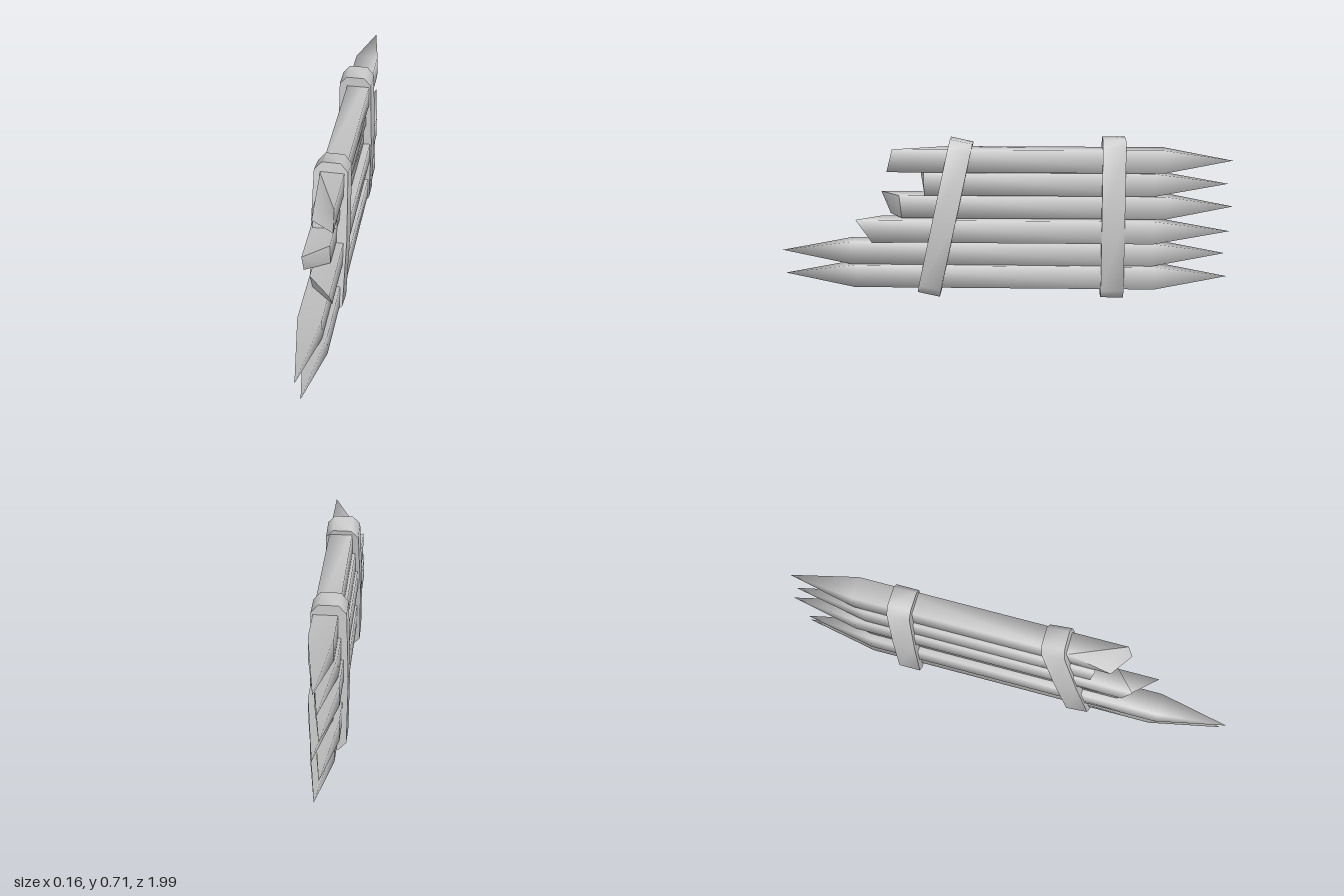
import * as THREE from 'three';
import { toCreasedNormals } from 'three/addons/utils/BufferGeometryUtils.js';

const material = new THREE.MeshStandardMaterial({ color: 0xcccccc });

// corner order, counter-clockwise seen from the front: +x top, -x top, -x bottom, +x bottom
const CORNERS = [[1, 1], [-1, 1], [-1, -1], [1, -1]];
const HALF = 0.05;

// Square stake: pointed at the back, pointed or snapped off at the front
function stakeGeometry({ x, y, back, front, snapped, core }) {
  const pos = [], index = [];
  const ring = (zs) => {
    const start = pos.length / 3;
    CORNERS.forEach(([cx, cy], i) => pos.push(x + cx * HALF, y + cy * HALF, zs[i]));
    return start;
  };
  const point = (z) => pos.push(x, y, z) / 3 - 1;
  const fan = (start, tip, forward) => {
    for (let i = 0; i < 4; i++) {
      const a = start + i, b = start + (i + 1) % 4;
      index.push(...(forward ? [a, b, tip] : [b, a, tip]));
    }
  };

  const rear = ring(Array(4).fill(back[0]));
  const fore = ring(snapped || Array(4).fill(front[0]));
  for (let i = 0; i < 4; i++) {
    const j = (i + 1) % 4;
    index.push(rear + i, rear + j, fore + j, rear + i, fore + j, fore + i);
  }
  fan(rear, point(back[1]), false);
  // a break gets its own vertices so its rim stays sharp
  if (snapped) fan(ring(snapped), point(core), true);
  else fan(fore, point(front[1]), true);

  const g = new THREE.BufferGeometry();
  g.setAttribute('position', new THREE.Float32BufferAttribute(pos, 3));
  g.setIndex(index);
  g.computeVertexNormals();
  return g;
}

// Upright strap: slightly bulging outline with chamfered ends
function strapGeometry(length, depth) {
  const h = length / 2;
  const half = [[0.04, -h], [0.071, -h + 0.037], [0.078, 0], [0.071, h - 0.037], [0.04, h]];
  const outline = [...half, ...half.map(([x, y]) => [-x, -y])];
  const shape = new THREE.Shape(outline.map(([x, y]) => new THREE.Vector2(x, y)));
  const g = new THREE.ExtrudeGeometry(shape, { depth, bevelEnabled: false });
  g.translate(0, 0, -depth / 2);
  return toCreasedNormals(g, 0.9);
}

export function createModel() {
  const model = new THREE.Group();
  model.name = 'stakeFence';
  const add = (name, geometry) => {
    const mesh = new THREE.Mesh(geometry, material);
    mesh.name = name;
    model.add(mesh);
    return mesh;
  };

  // Stakes from bottom to top: [shoulder z, tip z] for pointed ends, corner z for breaks
  const stakes = [
    { x: 0.012, y: 0.102, back: [-0.65, -0.97], front: [0.67, 0.985] },
    { x: -0.007, y: 0.202, back: [-0.64, -0.96], front: [0.69, 1.0] },
    { x: 0.018, y: 0.307, back: [-0.64, -0.975], snapped: [0.66, 0.55, 0.5, 0.59], core: 0.56 },
    { x: -0.012, y: 0.411, back: [-0.69, -0.99], snapped: [0.47, 0.56, 0.52, 0.46], core: 0.52 },
    { x: -0.002, y: 0.514, back: [-0.64, -0.965], snapped: [0.36, 0.385, 0.37, 0.36], core: 0.34 },
    { x: 0.01, y: 0.618, back: [-0.68, -0.98], snapped: [0.495, 0.26, 0.45, 0.52], core: 0.44 },
  ];
  stakes.forEach((s, i) => add(`${s.snapped ? 'broken' : 'pointed'}Stake${i + 1}`, stakeGeometry(s)));

  // Straps binding the stakes, the front one leaning back
  add('backStrap', strapGeometry(0.705, 0.1)).position.set(-0.003, 0.36, -0.465);
  const frontStrap = add('frontStrap', strapGeometry(0.7, 0.1));
  frontStrap.position.set(0.004, 0.358, 0.27);
  frontStrap.rotation.x = -0.215;

  return model;
}
